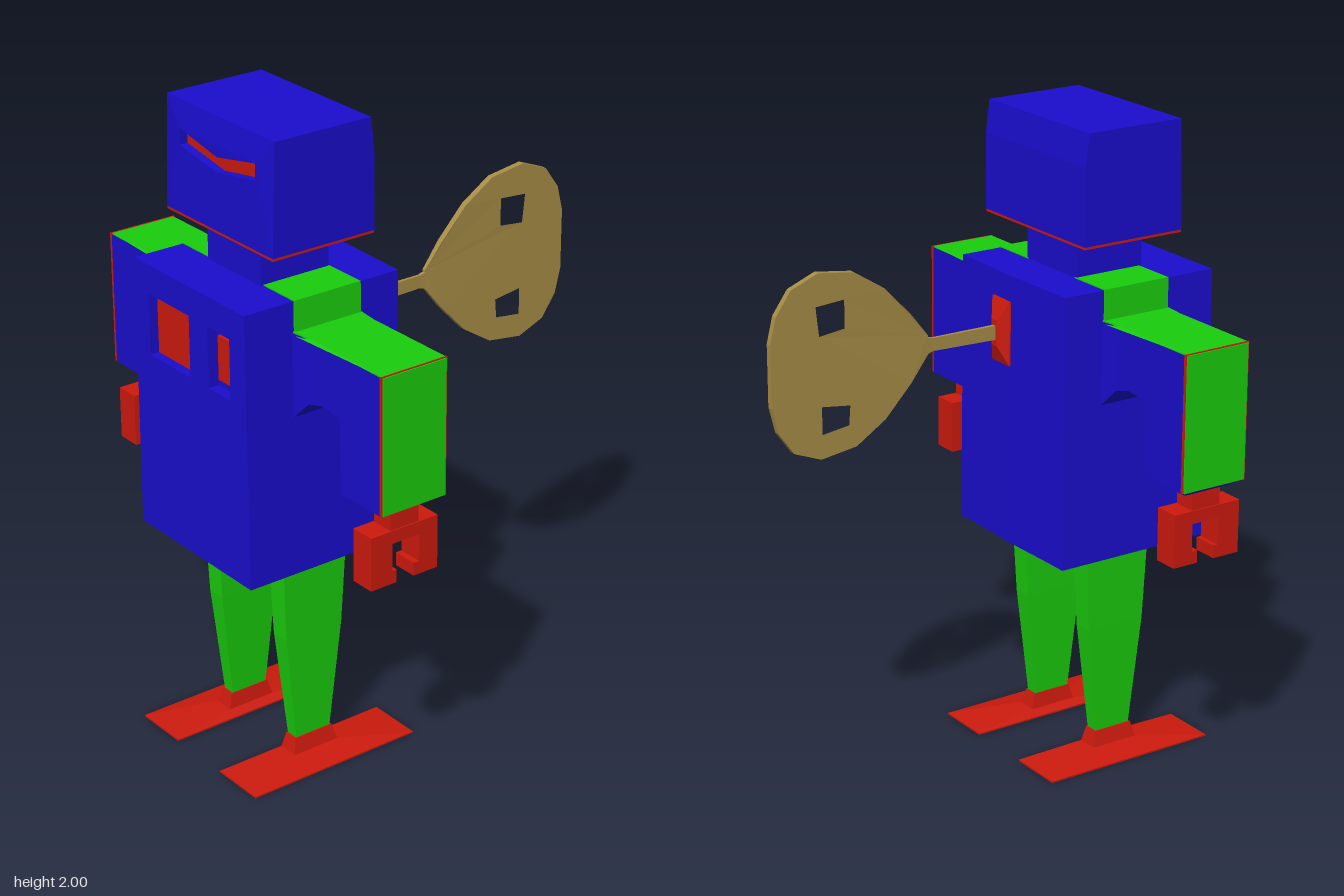
import * as THREE from 'three';

const BLUE = 0x1a0dcc, GREEN = 0x1acc0d, RED = 0xcc1a0d, TAN = 0xa68c45;

const mats = {};
const material = (color) => (mats[color] ??= new THREE.MeshStandardMaterial({ color, flatShading: true }));

function add(parent, name, geometry, color) {
  const mesh = new THREE.Mesh(geometry, material(color));
  mesh.name = name;
  parent.add(mesh);
  return mesh;
}

// Rectangular ring in plan, ordered for outward faces
const rect = (x0, x1, z0, z1) => [[x0, z1], [x1, z1], [x1, z0], [x0, z0]];

// Solid through horizontal rings: sections are [y, ring], bottom to top
function loft(sections) {
  const pos = [];
  const at = (s, i) => { const p = s[1][i % s[1].length]; return [p[0], s[0], p[1]]; };
  const tri = (a, b, c) => pos.push(...a, ...b, ...c);
  const n = sections[0][1].length, first = sections[0], last = sections[sections.length - 1];
  for (let k = 0; k < sections.length - 1; k++) {
    const lo = sections[k], hi = sections[k + 1];
    for (let i = 0; i < n; i++) {
      tri(at(lo, i), at(lo, i + 1), at(hi, i + 1));
      tri(at(lo, i), at(hi, i + 1), at(hi, i));
    }
  }
  for (let i = 1; i < n - 1; i++) {
    tri(at(last, 0), at(last, i), at(last, i + 1));
    tri(at(first, 0), at(first, i + 1), at(first, i));
  }
  const g = new THREE.BufferGeometry();
  g.setAttribute('position', new THREE.Float32BufferAttribute(pos, 3));
  g.computeVertexNormals();
  return g;
}

const box = (x0, x1, y0, y1, z0, z1) => loft([[y0, rect(x0, x1, z0, z1)], [y1, rect(x0, x1, z0, z1)]]);
const vecs = (pts) => pts.map(([x, y]) => new THREE.Vector2(x, y));

// Front-view (x, y) outline with holes, from z0 to z1
function slab(outline, z0, z1, holes = []) {
  const s = new THREE.Shape(vecs(outline));
  s.holes = holes.map((h) => new THREE.Path(vecs(h)));
  return new THREE.ExtrudeGeometry(s, { depth: z1 - z0, bevelEnabled: false }).translate(0, 0, z0);
}

// Side-view (z, y) outline with holes, from x0 to x1
function sideSlab(outline, x0, x1, holes = []) {
  const flip = (pts) => pts.map(([z, y]) => [-z, y]);
  return slab(flip(outline), x0, x1, holes.map(flip)).rotateY(Math.PI / 2);
}

const edit = (g, rule) => {
  const p = g.attributes.position, v = new THREE.Vector3();
  for (let i = 0; i < p.count; i++) {
    rule(v.fromBufferAttribute(p, i));
    p.setXYZ(i, v.x, v.y, v.z);
  }
  g.computeVertexNormals();
  return g;
};

function head() {
  const g = new THREE.Group();
  g.name = 'head';
  add(g, 'headShell', loft([
    [1.665, rect(-0.255, 0.255, 0.2, 0.52)],
    [1.9, rect(-0.255, 0.255, 0.2, 0.52)],
    [2, rect(-0.255, 0.255, 0.212, 0.508)],
  ]), BLUE);
  const slot = [[-0.18, 1.92], [0, 1.885], [0.18, 1.92], [0.18, 1.87], [0, 1.84], [-0.18, 1.87]];
  const face = slab([[-0.255, 1.665], [0.255, 1.665], [0.255, 2], [-0.255, 2]], 0.52, 0.55, [slot]);
  add(g, 'face', edit(face, (v) => { if (v.y > 1.99) v.z -= 0.012; }), BLUE);
  add(g, 'visor', slab(slot, 0.515, 0.524), RED);
  add(g, 'headRim', box(-0.254, 0.254, 1.657, 1.665, 0.201, 0.549), RED);
  add(g, 'headBase', loft([[1.637, rect(-0.14, 0.14, 0.26, 0.51)], [1.657, rect(-0.25, 0.25, 0.205, 0.545)]]), BLUE);
  add(g, 'neck', box(-0.128, 0.128, 1.52, 1.64, 0.265, 0.5), BLUE);
  return g;
}

function torso() {
  const g = new THREE.Group();
  g.name = 'torso';
  // Plan ring with a slightly bowed back
  const ring = (w, back) => [[-w, 0.625], [w, 0.625], [w, back], [0, back - 0.007], [-w, back]];
  add(g, 'torsoShell', loft([[0.685, ring(0.274, 0.122)], [1.53, ring(0.267, 0.126)]]), BLUE);
  add(g, 'torsoBase', loft([[0.655, rect(-0.2, 0.2, 0.2, 0.57)], [0.685, rect(-0.274, 0.274, 0.12, 0.659)]]), BLUE);
  const wide = [[-0.2, 1.25], [0, 1.25], [0, 1.44], [-0.2, 1.44]];
  const narrow = [[0.09, 1.25], [0.195, 1.25], [0.195, 1.44], [0.09, 1.44]];
  add(g, 'chestPanel', slab([[-0.274, 0.685], [0.274, 0.685], [0.267, 1.53], [-0.267, 1.53]], 0.625, 0.659, [wide, narrow]), BLUE);
  add(g, 'wideWindow', slab(wide, 0.62, 0.63), RED);
  add(g, 'narrowWindow', box(0.105, 0.18, 1.275, 1.41, 0.62, 0.635), RED);
  return g;
}

function arm() {
  const g = new THREE.Group();
  g.name = 'arm';
  // The arm flares slightly where it meets the torso
  const armSlab = (pts, z0, z1) => edit(slab(pts, z0, z1), (v) => {
    if (v.x < 0.3) v.z = 0.377 + (v.z - 0.377) * 1.09;
  });
  add(g, 'armShell', armSlab([[0.255, 1.436], [0.34, 1.436], [0.652, 1.436], [0.652, 1.02], [0.475, 1.02],
    [0.47, 1.25], [0.39, 1.256], [0.33, 1.24], [0.27, 1.18]], 0.265, 0.489), BLUE);
  add(g, 'armTop', armSlab([[0.255, 1.43], [0.34, 1.43], [0.652, 1.43], [0.652, 1.44], [0.34, 1.44], [0.255, 1.44]], 0.267, 0.487), GREEN);
  add(g, 'armTrim', box(0.65, 0.656, 1.022, 1.44, 0.263, 0.491), RED);
  add(g, 'armSide', box(0.654, 0.66, 1.022, 1.437, 0.268, 0.486), GREEN);
  add(g, 'shoulderStrip', slab([[0.12, 1.52], [0.26, 1.52], [0.26, 1.44], [0.274, 1.44], [0.272, 1.533], [0.12, 1.533]], 0.262, 0.492), GREEN);
  add(g, 'cuff', loft([[1, rect(0.515, 0.625, 0.3, 0.455)], [1.02, rect(0.475, 0.652, 0.265, 0.489)]]), BLUE);
  // Claw hand, open at the bottom
  add(g, 'wrist', box(0.548, 0.62, 0.94, 1.002, 0.33, 0.43), RED);
  add(g, 'claw', sideSlab([[0.265, 0.78], [0.265, 0.945], [0.5, 0.945], [0.5, 0.78], [0.41, 0.78], [0.41, 0.82],
    [0.425, 0.82], [0.425, 0.905], [0.33, 0.905], [0.33, 0.82], [0.35, 0.82], [0.35, 0.78]], 0.544, 0.624), RED);
  return g;
}

function leg() {
  const g = new THREE.Group();
  g.name = 'leg';
  add(g, 'legShaft', loft([
    [0.065, rect(0.143, 0.184, 0.318, 0.442)],
    [0.42, rect(0.132, 0.194, 0.278, 0.48)],
    [0.665, rect(0.127, 0.2, 0.265, 0.49)],
  ]), GREEN);
  add(g, 'foot', loft([
    [0, rect(0.11, 0.29, 0.08, 0.67)],
    [0.005, rect(0.11, 0.29, 0.08, 0.67)],
    [0.022, rect(0.133, 0.2, 0.3, 0.46)],
    [0.07, rect(0.141, 0.188, 0.313, 0.447)],
  ]), RED);
  return g;
}

function windUpKey() {
  const g = new THREE.Group();
  g.name = 'windUpKey';
  // Lofted along -z: ring depth becomes height
  const backward = (sections) => loft(sections).rotateX(-Math.PI / 2);
  add(g, 'keySocket', backward([[-0.125, rect(0, 0.09, 1.25, 1.45)], [-0.113, rect(0, 0.09, 1.25, 1.45)],
    [-0.088, rect(0.03, 0.057, 1.31, 1.39)]]), RED);
  add(g, 'keyShaft', backward([[-0.1, rect(0.036, 0.05, 1.328, 1.372)], [0.13, rect(0.038, 0.048, 1.333, 1.373)],
    [0.18, rect(0.036, 0.05, 1.32, 1.385)]]), TAN);
  const half = [[-0.15, 0.03], [-0.21, 0.105], [-0.3, 0.2], [-0.4, 0.264], [-0.52, 0.281], [-0.61, 0.245], [-0.66, 0.175], [-0.68, 0.095]];
  const outline = [...half, ...half.slice().reverse().map(([z, y]) => [z, -y])].map(([z, y]) => [z, y + 1.356]);
  const blade = sideSlab(outline, 0.033, 0.053, [
    [[-0.435, 1.545], [-0.53, 1.538], [-0.52, 1.448], [-0.435, 1.458]],
    [[-0.42, 1.222], [-0.515, 1.235], [-0.515, 1.15], [-0.425, 1.162]],
  ]);
  add(g, 'keyBlade', edit(blade, (v) => { if (v.z > -0.16) v.x = 0.043 + (v.x - 0.043) * 0.6; }), TAN);
  return g;
}

export function createModel() {
  const model = new THREE.Group();
  model.name = 'windUpRobot';
  model.add(head(), torso(), windUpKey());
  // Limbs are built on the left and mirrored to the right
  for (const [side, sx] of [['left', 1], ['right', -1]]) {
    for (const [part, build] of [['Arm', arm], ['Leg', leg]]) {
      const limb = build();
      limb.name = side + part;
      limb.scale.x = sx;
      model.add(limb);
    }
  }
  return model;
}
